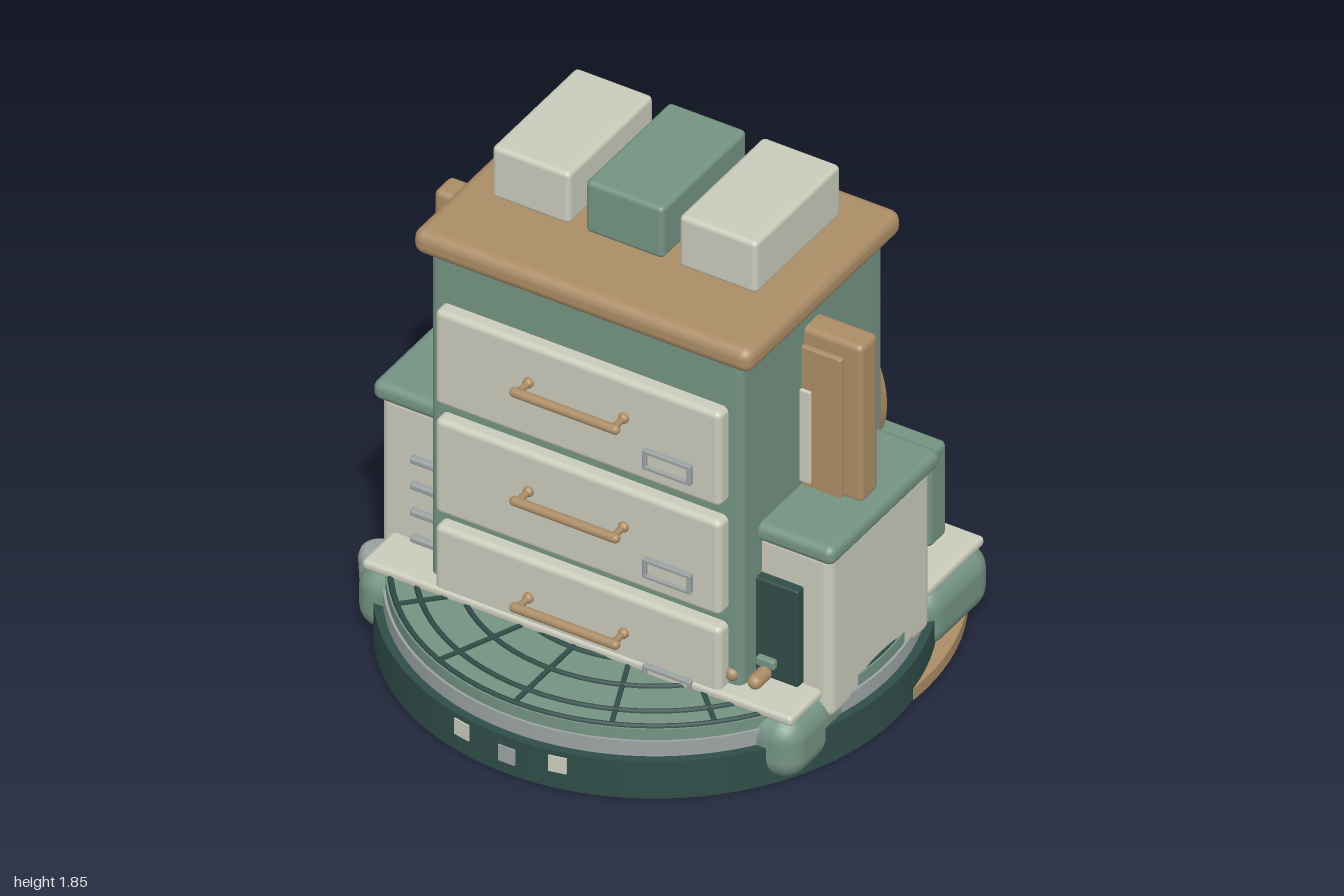
import * as THREE from 'three';
import { RoundedBoxGeometry } from 'three/addons/geometries/RoundedBoxGeometry.js';

const paint = (name, color) => {
  const m = new THREE.MeshStandardMaterial({ color });
  m.name = name;
  return m;
};

export function createModel() {
  const green = paint('sage green', 0x749383);
  const cream = paint('cream', 0xc9cbbb);
  const wood = paint('wood', 0xab8c66);
  const dark = paint('dark teal', 0x304d48);
  const grey = paint('metal grey', 0x9ca3a3);

  const root = new THREE.Group();
  root.name = 'drawerCabinet';

  const add = (name, geometry, material, x = 0, y = 0, z = 0) => {
    const mesh = new THREE.Mesh(geometry, material);
    mesh.name = name;
    mesh.position.set(x, y, z);
    root.add(mesh);
    return mesh;
  };
  // rounded box given by its extents on each axis
  const block = (name, material, [x0, x1], [y0, y1], [z0, z1], radius = 0.02) =>
    add(name, new RoundedBoxGeometry(x1 - x0, y1 - y0, z1 - z0, 3, radius), material,
      (x0 + x1) / 2, (y0 + y1) / 2, (z0 + z1) / 2);
  // upright disc
  const disc = (name, material, r, y0, y1, x, z, sides = 64) =>
    add(name, new THREE.CylinderGeometry(r, r, y1 - y0, sides), material, x, (y0 + y1) / 2, z);
  // extents mirrored to the chosen side
  const side = (s, a, b) => (s > 0 ? [a, b] : [-b, -a]);

  // round base
  const cx = 0.005, cz = 0.095;
  disc('floorDisc', wood, 0.9, 0, 0.045, cx, -0.1, 96);
  disc('baseDrum', dark, 0.905, 0.001, 0.147, cx, cz, 96);
  disc('metalRing', grey, 0.875, 0.147, 0.205, cx, cz, 96);
  disc('grilleDisc', green, 0.866, 0.205, 0.247, cx, cz, 96);

  // grille rings and spokes
  for (const r of [0.5, 0.635, 0.77, 0.85]) {
    const ring = add('grilleRing', new THREE.TorusGeometry(r, 0.01, 6, 80), dark, cx, 0.247, cz);
    ring.rotation.x = Math.PI / 2;
  }
  for (let i = 0; i < 16; i++) {
    const a = (i * Math.PI) / 8;
    const spoke = add('grilleSpoke', new THREE.BoxGeometry(0.016, 0.016, 0.52), dark,
      cx + Math.sin(a) * 0.59, 0.247, cz + Math.cos(a) * 0.59);
    spoke.rotation.y = a;
  }

  // small plates on the rim of the base
  for (const [x, y, m, back] of [[-0.17, 0.097, cream, 1], [0.19, 0.097, cream, 1],
    [0.01, 0.077, grey, 1], [0.04, 0.077, grey, -1]]) {
    const a = Math.asin((x - cx) / 0.906);
    const plate = add('rimPlate', new THREE.BoxGeometry(0.062, 0.062, 0.009), m,
      x, y, cz + back * Math.cos(a) * 0.905);
    plate.rotation.y = back * a;
  }

  // side knob on the base
  const knob = [[0, 0.025], [0.055, 0.025], [0.068, 0.045], [0.073, 0.14], [0.066, 0.165], [0.05, 0.176], [0, 0.176]];
  add('baseKnob', new THREE.LatheGeometry(knob.map(p => new THREE.Vector2(...p)), 28), grey, -0.855, 0, 0.38);

  // corner feet and deck
  for (const s of [-1, 1]) for (const t of [-1, 1]) {
    const [x0, x1] = side(s, 0.5, 0.84);
    block('cornerFoot', green, [x0 + 0.01, x1 + 0.01], [0.012, 0.25], side(t, 0.22, 0.612), 0.085);
  }
  block('deck', cream, [-0.8, 0.825], [0.24, 0.277], [-0.586, 0.586], 0.015);

  // cabinet body and top
  block('cabinetBody', green, [-0.58, 0.6], [0.25, 1.57], [-0.335, 0.525], 0.03);
  block('cabinetTop', wood, [-0.63, 0.65], [1.545, 1.64], [-0.375, 0.56], 0.04);

  // drawers with handle and label frame
  for (const y of [1.185, 0.753, 0.33]) {
    block('drawerFront', cream, [-0.53, 0.55], [y - 0.187, y + 0.187], [0.5, 0.578], 0.022);
    const hy = y + 0.04;
    const bar = add('drawerHandle', new THREE.CapsuleGeometry(0.017, 0.38, 6, 14), wood, 0.01, hy, 0.65);
    bar.rotation.z = Math.PI / 2;
    for (const s of [-1, 1]) {
      const post = add('handlePost', new THREE.CylinderGeometry(0.012, 0.012, 0.08, 12), wood, 0.01 + s * 0.18, hy, 0.61);
      post.rotation.x = Math.PI / 2;
      add('handleFoot', new THREE.SphereGeometry(0.019, 14, 10), wood, 0.01 + s * 0.18, hy, 0.582);
    }
    const ly = y - 0.085;
    for (const t of [-1, 1]) {
      block('labelFrameRail', grey, [0.268, 0.45], [ly + t * 0.031 - 0.007, ly + t * 0.031 + 0.007], [0.57, 0.598], 0.004);
      block('labelFrameEnd', grey, [0.359 + t * 0.084 - 0.007, 0.359 + t * 0.084 + 0.007], [ly - 0.038, ly + 0.038], [0.57, 0.598], 0.004);
    }
    add('labelCard', new THREE.BoxGeometry(0.16, 0.055, 0.009), cream, 0.359, ly, 0.582);
  }

  // side cupboards, lids and upright boards
  for (const s of [-1, 1]) {
    const span = (a, b) => side(s, a, b).map(v => v + 0.007);
    block('sideCupboard', cream, span(0.45, 0.852), [0.16, 0.81], [-0.208, 0.402], 0.035);
    block('cupboardLid', green, span(0.42, 0.872), [0.79, 0.862], [-0.238, 0.424], 0.03);
    block('uprightBoard', wood, span(0.45, 0.81), [0.85, 1.473], [0.043, 0.147], 0.022);
    block('boardPanel', wood, span(0.45, 0.742), [0.85, 1.41], [0.13, 0.165], 0.008);
    block('paperPanel', cream, span(0.45, 0.632), [0.88, 1.245], [0.16, 0.175], 0.005);
  }

  // vent bars on one cupboard, dark sign board on the other
  for (const y of [0.29, 0.395, 0.5, 0.603])
    block('ventBar', grey, [-0.72, -0.48], [y - 0.012, y + 0.012], [0.39, 0.425], 0.008);
  block('signBoard', dark, [0.42, 0.757], [0.28, 0.662], [0.39, 0.438], 0.008);

  // little pegs on the deck
  for (const x of [0.56, 0.647]) {
    const peg = add('deckPeg', new THREE.CapsuleGeometry(0.026, 0.05, 6, 14), wood, x, 0.315, 0.492);
    peg.rotation.x = Math.PI / 2;
  }
  block('pegCap', green, [0.61, 0.68], [0.33, 0.365], [0.43, 0.46], 0.008);

  // cone shade on the side wall
  add('coneShade', new THREE.ConeGeometry(0.2, 0.25, 32), green, -0.48, 1.21, 0.05);

  // rear trough, round board with hub, and drum
  block('rearPanel', green, [-0.7, 0.713], [0.272, 0.645], [-0.537, -0.432], 0.02);
  const round = disc('rearRoundBoard', wood, 0.387, 0, 0.046, 0.127, 0);
  round.rotation.x = Math.PI / 2;
  round.position.set(0.127, 0.738, -0.468);
  const hub = disc('roundBoardHub', grey, 0.078, 0, 0.05, 0.13, 0, 32);
  hub.rotation.x = Math.PI / 2;
  hub.position.set(0.13, 0.74, -0.425);
  disc('rearDrum', grey, 0.26, 0.277, 0.385, -0.15, -0.165);
  disc('rearDrumLid', wood, 0.25, 0.385, 0.41, -0.15, -0.165);

  // boxes on the top
  [[-0.349, cream], [0.004, green], [0.358, cream]].forEach(([x, m]) =>
    block('topBox', m, [x - 0.147, x + 0.147], [1.65, 1.853], [-0.227, 0.285], 0.018));

  return root;
}
